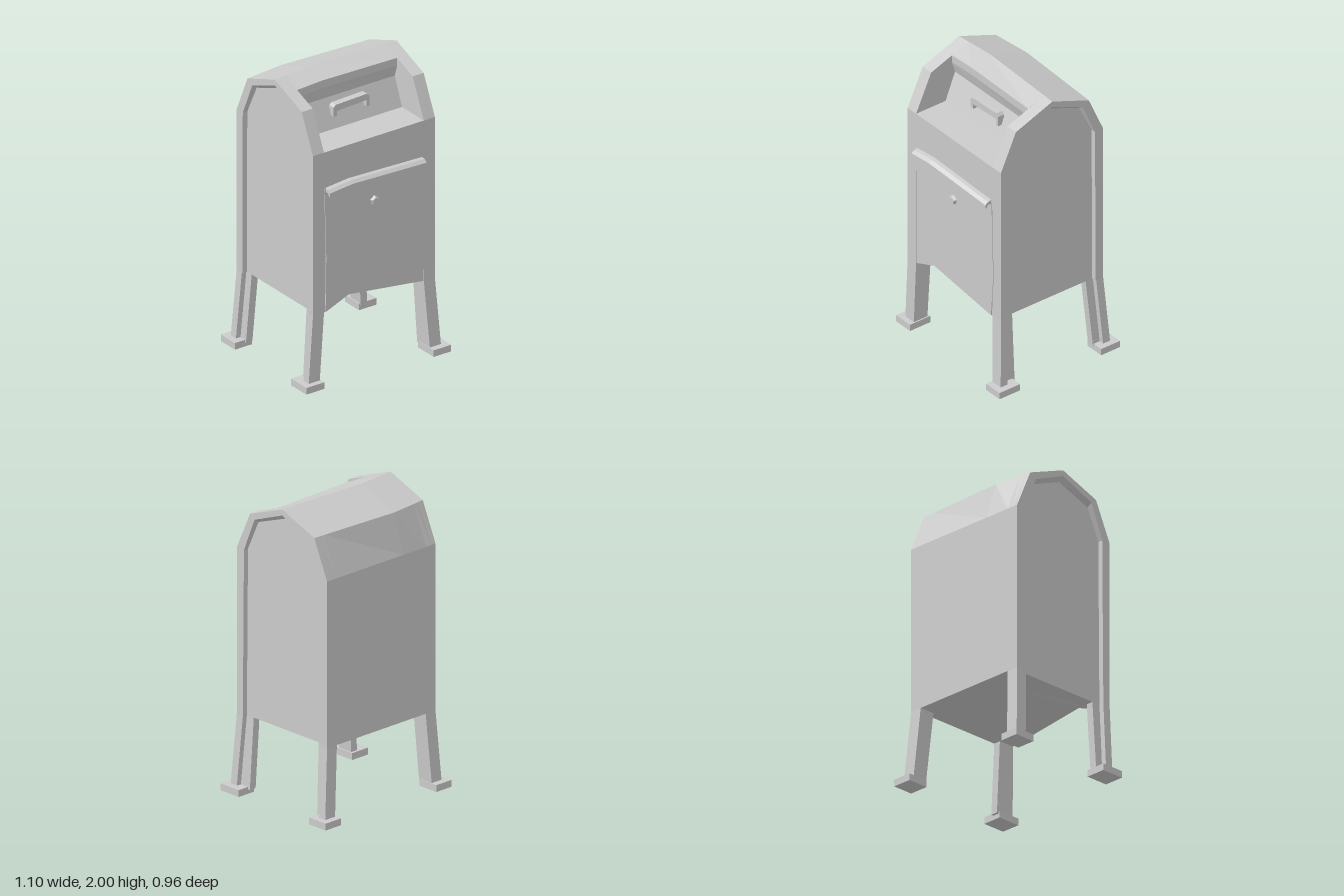
import * as THREE from 'three';

const grey = new THREE.MeshStandardMaterial({ color: 0xcccccc, flatShading: true });

// Joins matching rings of points, sorted along axis 'x' or 'y', and caps both ends.
function loft(rings, axis) {
  const flat = r => r.map(p => axis === 'x' ? new THREE.Vector2(p[1], p[2]) : new THREE.Vector2(p[2], p[0]));
  if (THREE.ShapeUtils.area(flat(rings[0])) < 0) rings = rings.map(r => [...r].reverse());
  const pos = [];
  const tri = (a, b, c) => pos.push(...a, ...b, ...c);
  for (let k = 0; k < rings.length - 1; k++) {
    const lo = rings[k], hi = rings[k + 1], n = lo.length;
    for (let i = 0; i < n; i++) {
      const j = (i + 1) % n;
      tri(lo[i], lo[j], hi[j]);
      tri(lo[i], hi[j], hi[i]);
    }
  }
  const first = rings[0], last = rings[rings.length - 1];
  for (const [a, b, c] of THREE.ShapeUtils.triangulateShape(flat(first), [])) tri(first[a], first[c], first[b]);
  for (const [a, b, c] of THREE.ShapeUtils.triangulateShape(flat(last), [])) tri(last[a], last[b], last[c]);
  const g = new THREE.BufferGeometry();
  g.setAttribute('position', new THREE.Float32BufferAttribute(pos, 3));
  g.computeVertexNormals();
  return g;
}

// Sweeps a [z, y] profile that may vary with x.
const loftX = (xs, profile) => loft(xs.map(x => profile(x).map(([z, y]) => [x, y, z])), 'x');

// Bend in the sheet metal: 1 at the kink, falling to 0 at both limits.
const KINK = -0.2;
const bend = (x, lo, hi) => Math.max(0, x < KINK ? (x - lo) / (KINK - lo) : (hi - x) / (hi - KINK));
const roofBend = x => bend(x, -0.475, 0.465);
const doorBend = x => bend(x, -0.39, 0.38);

// Ridge, rear shoulder and back wall, shared by all body sections.
const rear = x => [[-0.025 * roofBend(x), 2], [-0.29 - 0.03 * roofBend(x), 1.89], [-0.405, 1.63], [-0.405, 0.51]];
const cheekProfile = x => [[0.41, 0.51], [0.41, 1.63], [0.29, 1.89], ...rear(x)];

// Middle section with the sill, chute panel and cut roof edge.
const chuteProfile = x => {
  const k = doorBend(x);
  return [[0.407, 0.51 + 0.075 * k], [0.41, 1.63], [0.175, 1.63], [0.1, 1.82],
    [0.125, 1.9 + 0.01 * k], [0.125, 1.953 + 0.01 * k], ...rear(x)];
};

// Arched rim; its inner edge narrows towards the recessed side panel.
const rimProfile = inner => x => {
  const top = inner(x) ? 0.03 : 0;
  return [...cheekProfile(x),
    [-0.345, 0.51], [-0.34, 1.63], [-0.24, 1.86 - top * 0.8], [0, 1.96 - top],
    [0.25, 1.86 - top * 0.8], [0.345, 1.63], [0.355, 0.51]];
};

export function createModel() {
  const model = new THREE.Group();
  const add = (name, geometry, x = 0, y = 0, z = 0) => {
    const mesh = new THREE.Mesh(geometry, grey);
    mesh.name = name;
    mesh.position.set(x, y, z);
    model.add(mesh);
    return mesh;
  };

  // Body shell
  add('bodyMiddle', loftX([-0.39, KINK, 0.38], chuteProfile));
  add('rightSidePanel', loftX([-0.44, -0.39], cheekProfile));
  add('leftSidePanel', loftX([0.38, 0.43], cheekProfile));
  add('rightRim', loftX([-0.475, -0.44], rimProfile(x => x > -0.46)));
  add('leftRim', loftX([0.43, 0.465], rimProfile(x => x < 0.45)));

  // Front door, slightly proud of the body with a warped outline
  const door = new THREE.Shape([[-0.38, 0.515], [KINK, 0.588], [0.37, 0.515], [0.392, 0.8],
    [0.375, 1.37], [KINK, 1.39], [-0.388, 1.37], [-0.375, 0.9]].map(p => new THREE.Vector2(...p)));
  add('frontDoor', new THREE.ExtrudeGeometry(door, { depth: 0.012, bevelEnabled: false }), 0, 0, 0.402);

  // Lipped ledge along the top of the door
  add('doorLedge', loftX([-0.378, KINK, 0.368], x =>
    [[0.405, 1.35], [0.405, 1.38], [0.435, 1.375], [0.457, 1.358], [0.457, 1.333], [0.447, 1.333], [0.437, 1.352]]
      .map(([z, y]) => [z, y + 0.018 * doorBend(x)])));

  // Five-sided lock knob
  const knob = new THREE.CylinderGeometry(0.022, 0.037, 0.022, 5);
  knob.rotateX(Math.PI / 2);
  add('lockKnob', knob, -0.005, 1.19, 0.42).rotation.z = Math.PI;

  // Chute handle: a bar with two short returns
  const handle = new THREE.Shape([[-0.143, 1.71], [-0.143, 1.775], [-0.125, 1.79], [0.115, 1.798], [0.133, 1.78],
    [0.133, 1.71], [0.112, 1.71], [0.112, 1.755], [-0.118, 1.745], [-0.118, 1.71]].map(p => new THREE.Vector2(...p)));
  add('chuteHandle', new THREE.ExtrudeGeometry(handle, { depth: 0.047, bevelEnabled: false }), 0, 0, 0.123);

  // Splayed angle-section legs with feet: foot spans x0..x1, z0..z1
  const legs = [
    { name: 'frontRight', sx: -1, sz: 1, ex: 0.505, ez: 0.405, foot: [-0.55, -0.41, 0.28, 0.443] },
    { name: 'frontLeft', sx: 1, sz: 1, ex: 0.495, ez: 0.435, foot: [0.405, 0.54, 0.315, 0.48] },
    { name: 'backRight', sx: -1, sz: -1, ex: 0.5, ez: 0.435, foot: [-0.543, -0.41, -0.48, -0.33] },
    { name: 'backLeft', sx: 1, sz: -1, ex: 0.505, ez: 0.43, foot: [0.41, 0.545, -0.475, -0.325] },
  ];
  for (const { name, sx, sz, ex, ez, foot: [x0, x1, z0, z1] } of legs) {
    const section = (y, x, z, inner) => [[x, z], [x, z - 0.055], [x - 0.035, z - 0.055],
      [x - 0.035, inner], [x - 0.085, inner], [x - 0.085, z]].map(([px, pz]) => [sx * px, y, sz * pz]);
    add(name + 'Leg', loft([
      section(0.03, ex, ez, sz > 0 ? 0.297 : 0.32),
      section(0.51, sx > 0 ? 0.465 : 0.475, sz > 0 ? 0.41 : 0.405, 0.293),
    ], 'y'));
    add(name + 'Foot', new THREE.BoxGeometry(x1 - x0, 0.046, z1 - z0), (x0 + x1) / 2, 0.023, (z0 + z1) / 2);
  }
  return model;
}
